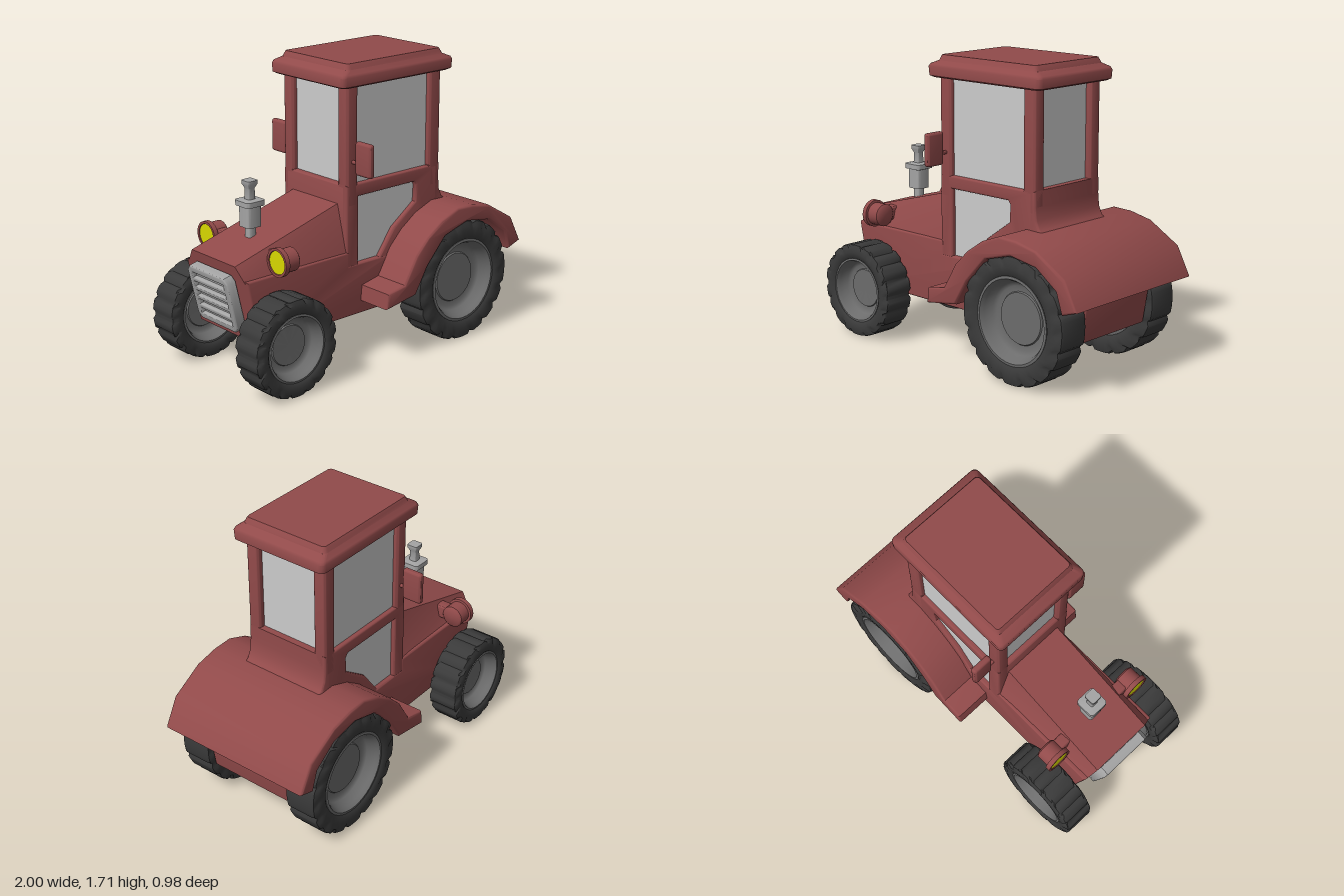
import * as THREE from 'three';
import { toCreasedNormals } from 'three/addons/utils/BufferGeometryUtils.js';
import { RoundedBoxGeometry } from 'three/addons/geometries/RoundedBoxGeometry.js';

const mat = (color) => new THREE.MeshStandardMaterial({ color });
const red = mat(0x914a4a), tyreGrey = mat(0x3a3a3a), rimGrey = mat(0x6c6c6c);
const glass = mat(0xcccccc), metal = mat(0xa4a4a4), yellow = mat(0xd8d800);

function add(parent, name, geo, material, x = 0, y = 0, z = 0) {
  const m = new THREE.Mesh(toCreasedNormals(geo, 0.75), material);
  m.name = name;
  m.position.set(x, y, z);
  parent.add(m);
  return m;
}

// Box given by its limits on each axis, with rounded edges
function block(parent, name, [x0, x1], [y0, y1], [z0, z1], r = 0.01) {
  return add(parent, name, new RoundedBoxGeometry(x1 - x0, y1 - y0, z1 - z0, 3, r), red,
    (x0 + x1) / 2, (y0 + y1) / 2, (z0 + z1) / 2);
}

// Flat pane reaching up to the roof
function pane(parent, name, sizeX, sizeZ, y0, x, z) {
  add(parent, name, new THREE.BoxGeometry(sizeX, 1.6 - y0, sizeZ), glass, x, (1.6 + y0) / 2, z);
}

const outline = (pts) => pts.map(([x, y]) => new THREE.Vector2(x, y));

// Bevelled slab of a side profile, from z0 to z1, with optional openings
function slab(pts, z0, z1, bevel, holes = []) {
  const s = new THREE.Shape(outline(pts));
  holes.forEach((h) => s.holes.push(new THREE.Path(outline(h))));
  return new THREE.ExtrudeGeometry(s, {
    depth: z1 - z0 - 2 * bevel, bevelThickness: bevel, bevelSize: bevel,
    bevelOffset: -bevel, bevelSegments: 3,
  }).translate(0, 0, z0 + bevel);
}

// Stack of rounded rectangles: [y, halfX, halfZ, cornerRadius]
function stack(rings) {
  const pos = [], idx = [], n = 16;
  rings.forEach(([y, hx, hz, r]) => {
    for (let j = 0; j < n; j++) {
      const corner = Math.floor(j / 4);
      const a = (corner + (j % 4) / 3) * Math.PI / 2;
      const sx = corner === 0 || corner === 3 ? 1 : -1, sz = corner < 2 ? 1 : -1;
      pos.push(sx * (hx - r) + r * Math.cos(a), y, sz * (hz - r) + r * Math.sin(a));
    }
  });
  for (let i = 0; i < rings.length - 1; i++) {
    for (let j = 0; j < n; j++) {
      const a = i * n + j, b = i * n + (j + 1) % n;
      idx.push(a, a + n, b, b, a + n, b + n);
    }
  }
  const top = (rings.length - 1) * n;
  for (let j = 1; j < n - 1; j++) {
    idx.push(0, j, j + 1, top, top + j + 1, top + j);
  }
  const g = new THREE.BufferGeometry();
  g.setAttribute('position', new THREE.Float32BufferAttribute(pos, 3));
  g.setIndex(idx);
  return g;
}

// Lugged tyre with a deeply dished rim, axis along z
function wheel(parent, name, R, w, x, z) {
  const group = new THREE.Group();
  group.name = name;
  group.position.set(x, R + 0.005, z);
  const segments = 90;
  const tyre = new THREE.LatheGeometry(outline([
    [0.67, -0.82], [0.72, -0.95], [0.82, -1], [0.91, -0.98], [0.985, -0.9], [1, -0.78],
    [1, 0.78], [0.985, 0.9], [0.91, 0.98], [0.82, 1], [0.72, 0.95], [0.67, 0.82],
  ].map(([r, y]) => [r * R, y * w])), segments);
  const p = tyre.attributes.position;
  // Press a straight groove across the tread between each pair of lugs
  for (let i = 0; i < p.count; i++) {
    const r = Math.hypot(p.getX(i), p.getZ(i));
    const step = Math.round(Math.atan2(p.getZ(i), p.getX(i)) / (Math.PI * 2) * segments) + segments;
    if (r > 0.9 * R && step % 5 === 0) {
      p.setX(i, p.getX(i) * 0.955);
      p.setZ(i, p.getZ(i) * 0.955);
      p.setY(i, p.getY(i) * 0.95);
    }
  }
  add(group, 'tyre', tyre.rotateX(Math.PI / 2), tyreGrey);
  const half = [[0, 0.2], [0.4, 0.2], [0.415, 0.12], [0.5, 0.13], [0.56, 0.24], [0.61, 0.7], [0.65, 0.92], [0.69, 0.9]];
  const profile = [...half.map(([r, y]) => [r * R, -y * w]), ...half.map(([r, y]) => [r * R, y * w]).reverse()];
  add(group, 'rim', new THREE.LatheGeometry(outline(profile), 40).rotateX(Math.PI / 2), rimGrey);
  parent.add(group);
}

export function createModel() {
  const model = new THREE.Group();
  model.name = 'tractor';

  // Chassis
  add(model, 'chassis', slab([
    [-0.82, 0.267], [0.85, 0.267], [0.89, 0.5], [0.88, 0.62], [0.72, 0.74], [0.54, 0.77], [0.36, 0.74],
    [0.2, 0.62], [0.1, 0.57], [-0.18, 0.57], [-0.18, 0.65], [-0.9, 0.645],
  ], -0.27, 0.27, 0.012), red);

  // Hood: a box pulled into a wedge, narrower at the top and rising to the cab
  const hood = new THREE.BoxGeometry(1, 1, 1);
  const hp = hood.attributes.position;
  for (let i = 0; i < hp.count; i++) {
    const rear = hp.getX(i) > 0, top = hp.getY(i) > 0, side = Math.sign(hp.getZ(i));
    hp.setXYZ(i, rear ? -0.18 : top ? -0.92 : -0.9, top ? (rear ? 0.925 : 0.72) : 0.635,
      side * (top ? 0.19 : rear ? 0.265 : 0.25));
  }
  add(model, 'hood', hood, red);

  // Grille: slotted plate over a backing plate, leaning forward
  const grille = new THREE.Group();
  grille.name = 'grille';
  grille.position.set(-0.847, 0.34, 0);
  grille.rotation.z = 0.23;
  const frame = [[-0.15, 0], [0.15, 0], [0.175, 0.03], [0.175, 0.3], [0.15, 0.33], [-0.15, 0.33], [-0.175, 0.3], [-0.175, 0.03]];
  const slots = [];
  for (let i = 0; i < 5; i++) {
    const y = 0.037 + i * 0.056;
    slots.push([[-0.135, y], [-0.135, y + 0.03], [0.135, y + 0.03], [0.135, y]]);
  }
  add(grille, 'grilleFrame', slab(frame, 0, 0.05, 0.008, slots).rotateY(-Math.PI / 2), metal);
  add(grille, 'grilleBacking', slab(frame, -0.01, 0.025, 0.004).rotateY(-Math.PI / 2), metal);
  model.add(grille);

  // Exhaust stack
  add(model, 'exhaust', stack([
    [0.76, 0.025, 0.025, 0.012], [0.84, 0.025, 0.025, 0.012], [0.845, 0.046, 0.046, 0.015],
    [0.96, 0.046, 0.046, 0.015], [0.965, 0.062, 0.062, 0.02], [0.995, 0.062, 0.062, 0.02],
    [1.0, 0.024, 0.024, 0.01], [1.06, 0.022, 0.022, 0.01], [1.085, 0.034, 0.034, 0.012], [1.105, 0.034, 0.034, 0.012],
  ]), metal, -0.663);

  // Full-width rear fender
  add(model, 'fender', slab([
    [-0.095, 0.345], [0.13, 0.38], [0.22, 0.53], [0.36, 0.68], [0.54, 0.73], [0.72, 0.7], [0.86, 0.6],
    [0.9, 0.48], [1, 0.513], [0.915, 0.675], [0.72, 0.79], [0.58, 0.82], [0.46, 0.824], [0.33, 0.775],
    [0.22, 0.7], [0.13, 0.61], [0.04, 0.46], [-0.085, 0.435],
  ], -0.49, 0.488, 0.014), red);

  // Cab: lower sides with a glazed door opening, pillars above
  const lowerSide = [[-0.2, 0.45], [0.5, 0.45], [0.5, 1.035], [-0.2, 1.035]];
  const doorHole = [[-0.11, 0.57], [-0.11, 0.96], [0.32, 0.96], [0.335, 0.94], [0.33, 0.84], [0.16, 0.72], [0.05, 0.57]];
  for (const s of [1, -1]) {
    const z0 = s > 0 ? 0.19 : -0.268, span = [z0, z0 + 0.078];
    add(model, 'cabLowerSide', slab(lowerSide, ...span, 0.012, [doorHole]), red);
    block(model, 'frontPillar', [-0.2, -0.115], [0.9, 1.61], span, 0.018);
    block(model, 'rearPillar', [0.43, 0.52], [0.9, 1.61], span, 0.018);
    pane(model, 'sideGlass', 0.63, 0.012, 0.52, 0.155, s * 0.235);

    // Mirror on its arm
    const mz = s * 0.357 + 0.005;
    block(model, 'mirror', [-0.173, -0.135], [1.1, 1.29], [mz - 0.062, mz + 0.062], 0.015);
    add(model, 'mirrorArm', new THREE.CylinderGeometry(0.011, 0.011, 0.08, 10).rotateX(Math.PI / 2), red, -0.155, 1.165, s * 0.275);

    // Headlight with lens and bracket
    const lamp = new THREE.LatheGeometry(outline([
      [0, -0.055], [0.055, -0.055], [0.066, -0.045], [0.066, 0.03], [0.08, 0.032], [0.08, 0.06], [0.066, 0.06], [0.062, 0.048],
    ]), 28).rotateZ(Math.PI / 2);
    add(model, 'headlight', lamp, red, -0.675, 0.73, s * 0.31);
    add(model, 'headlightLens', new THREE.CylinderGeometry(0.064, 0.064, 0.012, 28).rotateZ(Math.PI / 2), yellow, -0.724, 0.73, s * 0.31);
    block(model, 'headlightBracket', [-0.7, -0.63], [0.69, 0.77], [s * 0.215 - 0.05, s * 0.215 + 0.05]);

    wheel(model, 'frontWheel', 0.279, 0.1, -0.723, s * 0.377 - 0.007);
    wheel(model, 'rearWheel', 0.361, 0.104, 0.535, s * 0.38 - 0.006);
  }

  // Cab front wall, flared rear wall, and glass above them
  block(model, 'cabFrontWall', [-0.2, -0.12], [0.5, 1.035], [-0.25, 0.25], 0.015);
  add(model, 'cabRearWall', slab([
    [0.43, 0.7], [0.62, 0.7], [0.62, 0.79], [0.55, 0.83], [0.527, 0.88], [0.52, 0.95], [0.52, 1.04], [0.43, 1.04],
  ], -0.268, 0.268, 0.012), red);
  pane(model, 'frontGlass', 0.012, 0.44, 0.95, -0.16, 0);
  pane(model, 'rearGlass', 0.012, 0.44, 1, 0.475, 0);

  // Roof
  add(model, 'roof', stack([
    [1.585, 0.4, 0.29, 0.03], [1.595, 0.42, 0.306, 0.03], [1.645, 0.423, 0.309, 0.03], [1.66, 0.415, 0.303, 0.03],
    [1.68, 0.368, 0.277, 0.025], [1.7, 0.36, 0.27, 0.025], [1.712, 0.353, 0.263, 0.02],
  ]), red, 0.16);

  return model;
}
